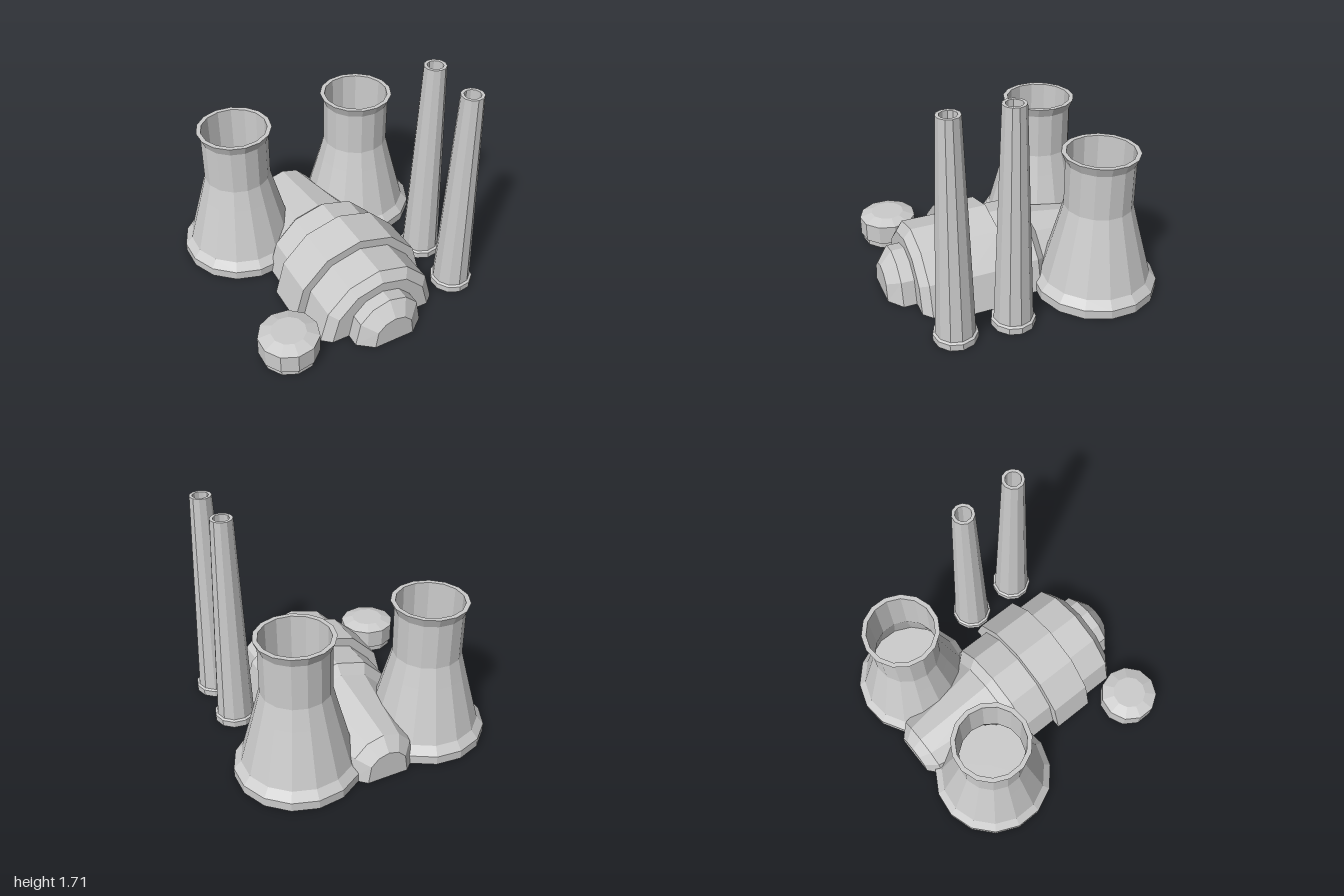
import * as THREE from 'three';

const material = new THREE.MeshStandardMaterial({
  color: 0xcccccc, flatShading: true, side: THREE.DoubleSide,
});

// Faceted round part; one corner points along +x, or -x when flipped
function turned(name, profile, sides, x, z, flip = false) {
  const points = profile.map(([r, y]) => new THREE.Vector2(r, y));
  const geometry = new THREE.LatheGeometry(points, sides, flip ? -Math.PI / 2 : Math.PI / 2);
  const mesh = new THREE.Mesh(geometry, material);
  mesh.name = name;
  mesh.position.set(x, 0, z);
  return mesh;
}

// Half of a 12-sided ring, raised by lift but with its feet on the ground
function arch([z, r, lift = 0]) {
  return Array.from({ length: 7 }, (_, i) => {
    const a = (i * Math.PI) / 6;
    const foot = i === 0 || i === 6;
    return [r * Math.cos(a), foot ? 0 : r * Math.sin(a) + lift, z];
  });
}

// Skin joining a row of arches from front to back, open underneath
function vault(name, sections) {
  const rings = sections.map(arch);
  const positions = [];
  for (let i = 0; i < rings.length - 1; i++) {
    for (let j = 0; j < 6; j++) {
      const a = rings[i][j], b = rings[i][j + 1];
      const c = rings[i + 1][j + 1], d = rings[i + 1][j];
      positions.push(...a, ...d, ...c, ...a, ...c, ...b);
    }
  }
  const geometry = new THREE.BufferGeometry();
  geometry.setAttribute('position', new THREE.Float32BufferAttribute(positions, 3));
  geometry.computeVertexNormals();
  const mesh = new THREE.Mesh(geometry, material);
  mesh.name = name;
  return mesh;
}

export function createModel() {
  const model = new THREE.Group();
  model.name = 'powerPlant';

  // Cooling towers: flared shell, lip, inner wall and inner floor
  const tower = [
    [0.47, 0], [0.47, 0.07], [0.415, 0.13], [0.3, 0.55], [0.258, 0.71],
    [0.258, 1.06], [0.287, 1.13], [0.252, 1.13], [0.245, 0.71], [0.285, 0.55],
    [0.335, 0.36], [0, 0.36],
  ];
  model.add(turned('leftCoolingTower', tower, 15, 0.53, -0.53, true));
  model.add(turned('rightCoolingTower', tower, 15, -0.53, -0.53));

  // Chimneys: footing, tapered stack and shallow flue
  const chimney = [
    [0.163, 0], [0.163, 0.05], [0.145, 0.06], [0.084, 1.71],
    [0.06, 1.71], [0.06, 1.5], [0, 1.5],
  ];
  model.add(turned('frontChimney', chimney, 11, 0.727, 0.67));
  model.add(turned('rearChimney', chimney, 11, 0.727, 0.23));

  // Storage tank with a low domed lid
  const tank = [[0.208, 0], [0.208, 0.045], [0.225, 0.05], [0.225, 0.2], [0.13, 0.232], [0, 0.232]];
  model.add(turned('storageTank', tank, 11, -0.728, 0.74));

  // Turbine hall: [z, radius, lift]; zero radius closes an end
  model.add(vault('turbineHall', [
    [1, 0], [1, 0.16, 0.06], [0.91, 0.275, 0.055], [0.81, 0.275, 0.055],
    [0.81, 0.41], [0.75, 0.48], [0.48, 0.48], [0.48, 0.55],
    [0.15, 0.55], [0.15, 0.48], [-0.11, 0.48], [-0.18, 0.41],
    [-0.84, 0.26, 0.055], [-0.93, 0.16, 0.06], [-0.93, 0],
  ]));

  return model;
}
